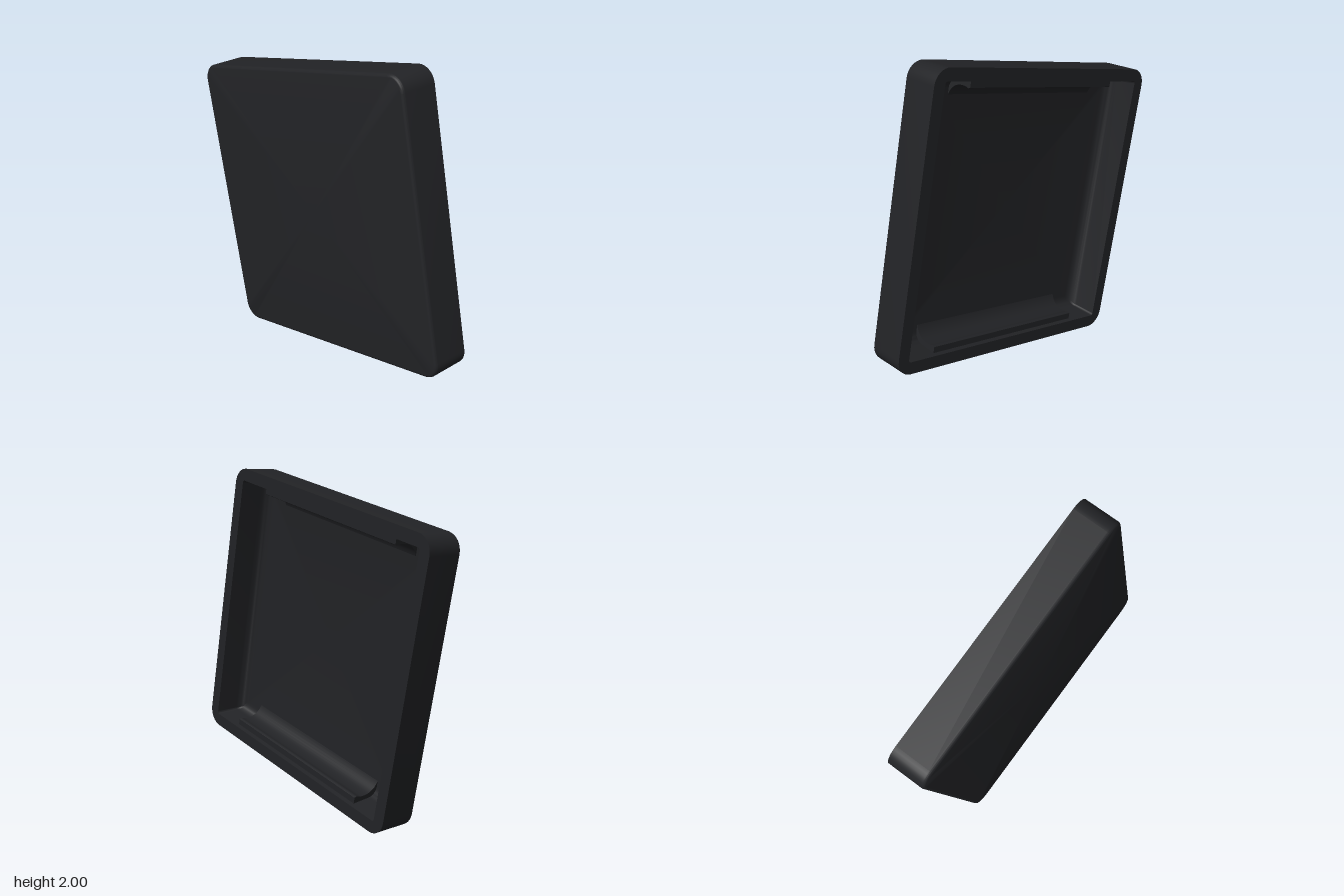
import * as THREE from 'three';
import { toCreasedNormals } from 'three/addons/utils/BufferGeometryUtils.js';

const material = new THREE.MeshStandardMaterial({ color: 0x222326 });

// Rounded square outline, counter-clockwise seen from the front
function ring(half, radius, z, steps = 8) {
  const points = [];
  for (let corner = 0; corner < 4; corner++) {
    for (let i = 0; i <= steps; i++) {
      const a = (corner + i / steps) * Math.PI / 2;
      const sx = corner === 0 || corner === 3 ? 1 : -1;
      const sy = corner < 2 ? 1 : -1;
      points.push([sx * (half - radius) + radius * Math.cos(a), sy * (half - radius) + radius * Math.sin(a), z]);
    }
  }
  return points;
}

// Skin a list of [half size, corner radius, z] sections
function loft(sections) {
  const rings = sections.map(([h, r, z]) => ring(h, r, z));
  const n = rings[0].length;
  const index = [];
  for (let i = 0; i < rings.length - 1; i++) {
    for (let j = 0; j < n; j++) {
      const a = i * n + j, b = i * n + (j + 1) % n, c = a + n, d = b + n;
      if (sections[i][0] > 0) index.push(a, c, b);
      if (sections[i + 1][0] > 0) index.push(b, c, d);
    }
  }
  const geometry = new THREE.BufferGeometry();
  geometry.setAttribute('position', new THREE.Float32BufferAttribute(rings.flat(2), 3));
  geometry.setIndex(index);
  return toCreasedNormals(geometry, 0.6);
}

export function createModel() {
  const model = new THREE.Group();
  model.name = 'squareCap';
  const tilted = new THREE.Group();
  tilted.name = 'tiltedCap';
  tilted.position.y = 1;
  tilted.rotation.z = THREE.MathUtils.degToRad(12);
  model.add(tilted);

  // Front face, softened front edge, side walls and flat rim
  const sections = [[0, 0, 0.115]];
  for (let i = 0; i <= 5; i++) {
    const a = i / 5 * Math.PI / 2;
    sections.push([0.837 + 0.02 * Math.sin(a), 0.08 + 0.02 * Math.sin(a), 0.095 + 0.02 * Math.cos(a)]);
  }
  sections.push([0.859, 0.1, -0.12], [0.785, 0.015, -0.12]);
  // Hollow back: inner walls curving into the floor
  for (let i = 0; i <= 6; i++) {
    const a = i / 6 * Math.PI / 2;
    sections.push([0.71 + 0.06 * Math.cos(a), 0.012, 0.015 + 0.06 * Math.sin(a)]);
  }
  sections.push([0, 0, 0.075]);
  const shell = new THREE.Mesh(loft(sections), material);
  shell.name = 'shell';
  tilted.add(shell);

  // Scooped ledges inside the upper and lower walls, stopping short of the corners
  const profile = new THREE.Shape();
  profile.moveTo(-0.09, 0.8);
  profile.lineTo(-0.09, 0.745);
  profile.quadraticCurveTo(-0.075, 0.735, -0.06, 0.745);
  profile.quadraticCurveTo(0.05, 0.76, 0.08, 0.66);
  profile.lineTo(0.08, 0.8);
  const length = 1.16;
  const ledge = toCreasedNormals(
    new THREE.ExtrudeGeometry(profile, { depth: length, bevelEnabled: false, curveSegments: 10 })
      .translate(0, 0, -length / 2).rotateY(-Math.PI / 2), 0.6);
  for (const [name, turn] of [['upperLedge', 0], ['lowerLedge', Math.PI]]) {
    const mesh = new THREE.Mesh(ledge, material);
    mesh.name = name;
    mesh.rotation.z = turn;
    tilted.add(mesh);
  }
  return model;
}
